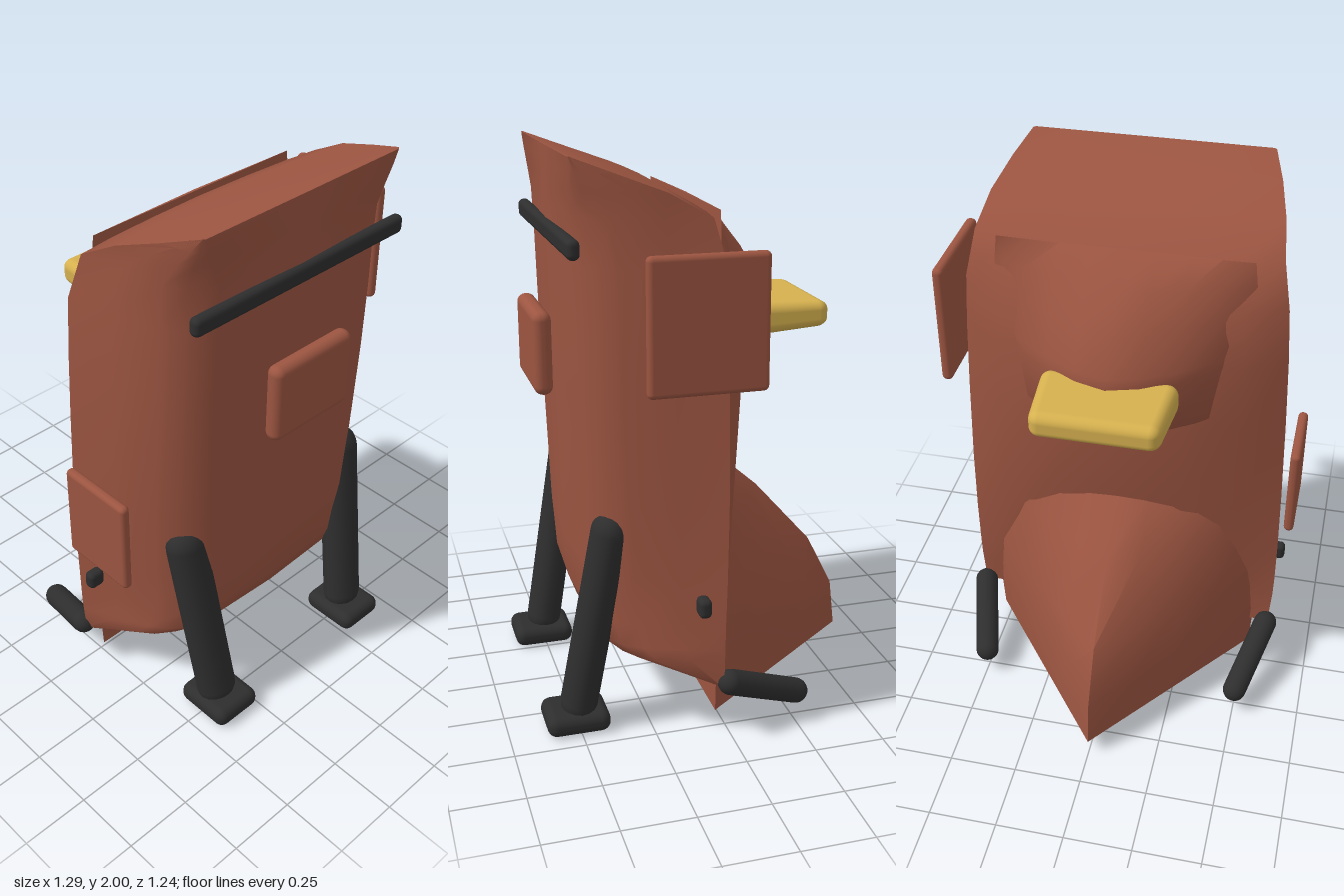
import * as THREE from 'three';
import { toCreasedNormals } from 'three/addons/utils/BufferGeometryUtils.js';
import { RoundedBoxGeometry } from 'three/addons/geometries/RoundedBoxGeometry.js';

const mat = (name, color) => {
  const m = new THREE.MeshStandardMaterial({ color });
  m.name = name;
  return m;
};

// Skin closed rings, listed bottom to top; each ring is half a section [x, z]
// running from front centre to back centre, mirrored to the other side
function loft(levels, crease) {
  const rings = levels.map(({ y, half }) => {
    const other = half.slice(1, -1).reverse().map(([x, z]) => [-x, z]);
    return [...half, ...other].map(([x, z]) => [x, y, z]);
  });
  const n = rings[0].length;
  const index = [];
  for (let i = 0; i < rings.length - 1; i++) {
    for (let j = 0; j < n; j++) {
      const k = (j + 1) % n;
      const a = i * n + j, b = i * n + k, c = b + n, d = a + n;
      index.push(a, b, c, a, c, d);
    }
  }
  const top = (rings.length - 1) * n;
  for (let j = 1; j < n - 1; j++) {
    index.push(0, j + 1, j, top, top + j, top + j + 1);
  }
  const g = new THREE.BufferGeometry();
  g.setAttribute('position', new THREE.Float32BufferAttribute(rings.flat(2), 3));
  g.setIndex(index);
  return toCreasedNormals(g, crease);
}

// Body section: front width and depth, widest side point, back depth,
// and how much the front corner is rounded off
function bodyLevel([y, wF, zF, wM, zM, zB, r]) {
  const end = [wF + 0.03 * r, zF - 0.135 * r];
  return { y, half: [
    [0, zF], [wF - 0.1 * r, zF - 0.015 * r], [wF - 0.02 * r, zF - 0.07 * r], end,
    [(end[0] + wM) / 2, (end[1] + zM) / 2],
    [wM, zM], [wM * 0.75, zM + (zB - zM) * 0.5],
    [wM * 0.4, zM + (zB - zM) * 0.84], [0, zB],
  ] };
}

// Wedge section: flat front, swelling back to a ridge; bulge 0 is a triangle
function wedgeLevel([y, w, zF, zB, bulge]) {
  const at = (t) => [w * t, zF + (zB - zF) * (1 - t + bulge * 4 * t * (1 - t))];
  return { y, half: [[0, zF], [w, zF], at(0.75), at(0.5), at(0.25), [0, zB]] };
}

export function createModel() {
  const model = new THREE.Group();
  const rust = mat('rust brown', 0x9c5541);
  const black = mat('charcoal', 0x2e2e2e);
  const yellow = mat('mustard yellow', 0xd6b14f);

  const add = (name, geometry, material, x = 0, y = 0, z = 0) => {
    const m = new THREE.Mesh(geometry, material);
    m.name = name;
    m.position.set(x, y, z);
    model.add(m);
    return m;
  };
  // Rounded box given by its limits on each axis
  const box = (name, material, [x0, x1], [y0, y1], [z0, z1], r) =>
    add(name, new RoundedBoxGeometry(x1 - x0, y1 - y0, z1 - z0, 3, r), material,
      (x0 + x1) / 2, (y0 + y1) / 2, (z0 + z1) / 2);
  // Round-ended rod whose tips lie at a and b
  const rod = (name, a, b, r, flat = 1) => {
    const p = new THREE.Vector3(...a), q = new THREE.Vector3(...b);
    const d = q.clone().sub(p);
    const g = new THREE.CapsuleGeometry(r, d.length() - 2 * r, 6, 16);
    g.scale(1, 1, flat);
    const m = add(name, g, black);
    m.position.copy(p.add(q).multiplyScalar(0.5));
    m.quaternion.setFromUnitVectors(new THREE.Vector3(0, 1, 0), d.normalize());
  };

  // Main shell: slanted underside, rounded front corners that sharpen at the
  // top edge, and a top sloping back from it
  add('body', loft([
    [0.20, 0.575, 0.05, 0.585, 0.03, 0.025, 0.05],
    [0.30, 0.50, 0.36, 0.592, 0.03, 0.01, 0.8],
    [0.34, 0.47, 0.425, 0.595, 0.03, 0.0, 1],
    [0.42, 0.45, 0.455, 0.597, 0.03, -0.02, 1.1],
    [0.60, 0.445, 0.465, 0.597, 0.025, -0.06, 1.1],
    [0.85, 0.455, 0.47, 0.593, 0.02, -0.105, 1.05],
    [1.20, 0.46, 0.48, 0.583, 0.02, -0.15, 1],
    [1.45, 0.46, 0.487, 0.573, 0.02, -0.14, 1],
    [1.65, 0.455, 0.492, 0.56, 0.02, -0.09, 1],
    [1.81, 0.45, 0.497, 0.53, 0.06, 0.03, 0.95],
    [1.89, 0.445, 0.499, 0.51, 0.20, 0.17, 0.6],
    [1.95, 0.44, 0.50, 0.475, 0.36, 0.345, 0.3],
    [2.00, 0.43, 0.50, 0.435, 0.492, 0.49, 0.04],
  ].map(bodyLevel), 1.05), rust);

  // Head-like swelling high on the back
  add('upperWedge', loft([
    [1.235, 0.42, 0.01, -0.22, 0.22],
    [1.255, 0.425, 0.01, -0.26, 0.22],
    [1.45, 0.44, 0.01, -0.29, 0.2],
    [1.49, 0.445, 0.01, -0.28, 0.19],
    [1.62, 0.45, 0.01, -0.205, 0.15],
    [1.73, 0.45, 0.01, -0.12, 0.12],
    [1.82, 0.44, 0.01, 0.0, 0],
  ].map(wedgeLevel), 0.9), rust);

  // Large pointed tail low on the back
  add('tailWedge', loft([
    [0.07, 0.515, 0.04, -0.62, 0],
    [0.25, 0.525, 0.04, -0.60, 0.01],
    [0.45, 0.52, 0.04, -0.50, 0.03],
    [0.70, 0.48, 0.04, -0.28, 0.07],
    [0.85, 0.45, 0.04, -0.11, 0.1],
    [0.96, 0.42, 0.04, 0.02, 0.1],
  ].map(wedgeLevel), 1.2), rust);

  // Bill, thinner and narrower towards its end
  const bill = new RoundedBoxGeometry(0.48, 0.12, 0.28, 4, 0.04);
  const p = bill.attributes.position;
  for (let i = 0; i < p.count; i++) {
    const t = 0.5 - p.getZ(i) / 0.28;
    p.setX(i, p.getX(i) * (1 - 0.09 * t));
    p.setY(i, p.getY(i) * (1 - 0.25 * t));
  }
  add('bill', bill, yellow, 0, 1.4, -0.33);

  // Floating panels
  box('frontPanel', rust, [-0.18, 0.18], [1.17, 1.46], [0.515, 0.58], 0.03);
  box('leftPanel', rust, [0.605, 0.645], [1.27, 1.72], [-0.095, 0.305], 0.018);
  box('rightPanel', rust, [-0.647, -0.61], [0.66, 1.02], [0.05, 0.347], 0.017);

  // Cross bar below the front edge
  box('frontBar', black, [-0.475, 0.475], [1.685, 1.752], [0.472, 0.515], 0.02);

  // Limbs and pins, mirrored
  for (const [side, s] of [['left', 1], ['right', -1]]) {
    rod(side + 'FrontLeg', [s * 0.348, 0.02, 0.507], [s * 0.402, 0.82, 0.367], 0.077, 0.85);
    box(side + 'Foot', black, [s * 0.348 - 0.098, s * 0.348 + 0.098],
      [0, 0.075], [0.395, 0.62], 0.034);
    rod(side + 'BackLeg', [s * 0.59, 0.228, 0.045], [s * 0.49, 0.075, -0.305], 0.045);
    box(side + 'Pin', black, [s * 0.59 - 0.032, s * 0.59 + 0.032],
      [0.482, 0.55], [0.083, 0.127], 0.018);
  }
  return model;
}
